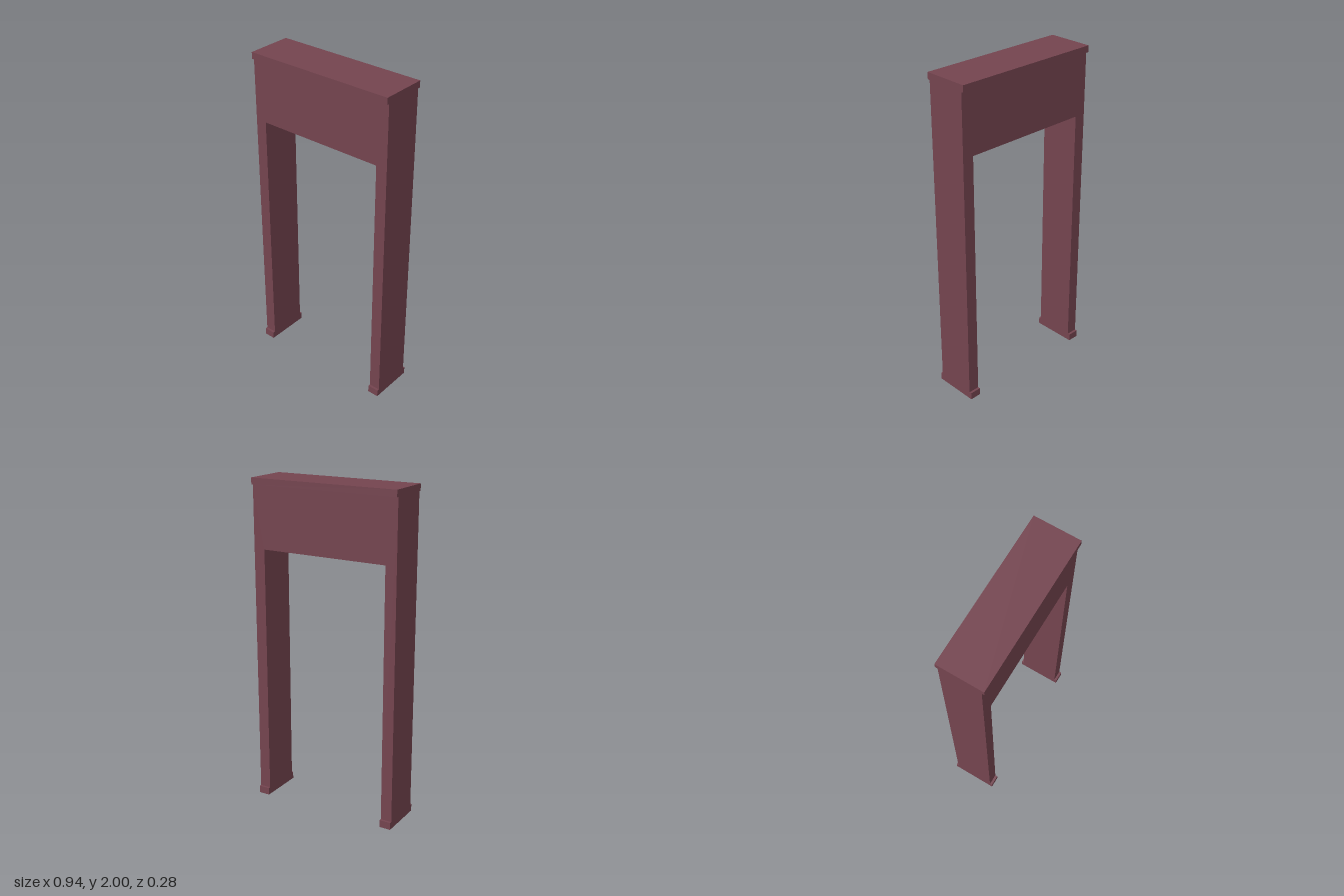
import * as THREE from 'three';

const HALF_W = 0.47;    // outer half width
const HALF_OPEN = 0.40; // half width of the opening
const HEAD_Y = 1.585;   // underside of the lintel
const FOOT_H = 0.045;
const CAP_Y = 1.96;
const BODY_D = 0.25;
const TRIM_D = 0.28;

export function createModel() {
  const group = new THREE.Group();
  group.name = 'doorFrame';
  const material = new THREE.MeshStandardMaterial({ color: 0x74444f, flatShading: true });

  function add(name, geometry, x = 0, y = 0, z = 0) {
    const mesh = new THREE.Mesh(geometry, material);
    mesh.name = name;
    mesh.position.set(x, y, z);
    group.add(mesh);
  }

  // Posts and lintel as one solid arch
  const arch = new THREE.Shape([
    [-HALF_W, FOOT_H], [-HALF_OPEN, FOOT_H], [-HALF_OPEN, HEAD_Y], [HALF_OPEN, HEAD_Y],
    [HALF_OPEN, FOOT_H], [HALF_W, FOOT_H], [HALF_W, CAP_Y], [-HALF_W, CAP_Y],
  ].map(([x, y]) => new THREE.Vector2(x, y)));
  add('postsAndLintel',
    new THREE.ExtrudeGeometry(arch, { depth: BODY_D, bevelEnabled: false }), 0, 0, -BODY_D / 2);

  // Top trim, projecting to front and back
  add('topTrim', new THREE.BoxGeometry(HALF_W * 2, 2 - CAP_Y, TRIM_D), 0, (2 + CAP_Y) / 2);

  // Plinth under each post
  const postW = HALF_W - HALF_OPEN;
  for (const [name, side] of [['leftPlinth', 1], ['rightPlinth', -1]]) {
    add(name, new THREE.BoxGeometry(postW, FOOT_H, TRIM_D),
      side * (HALF_W + HALF_OPEN) / 2, FOOT_H / 2);
  }

  return group;
}
